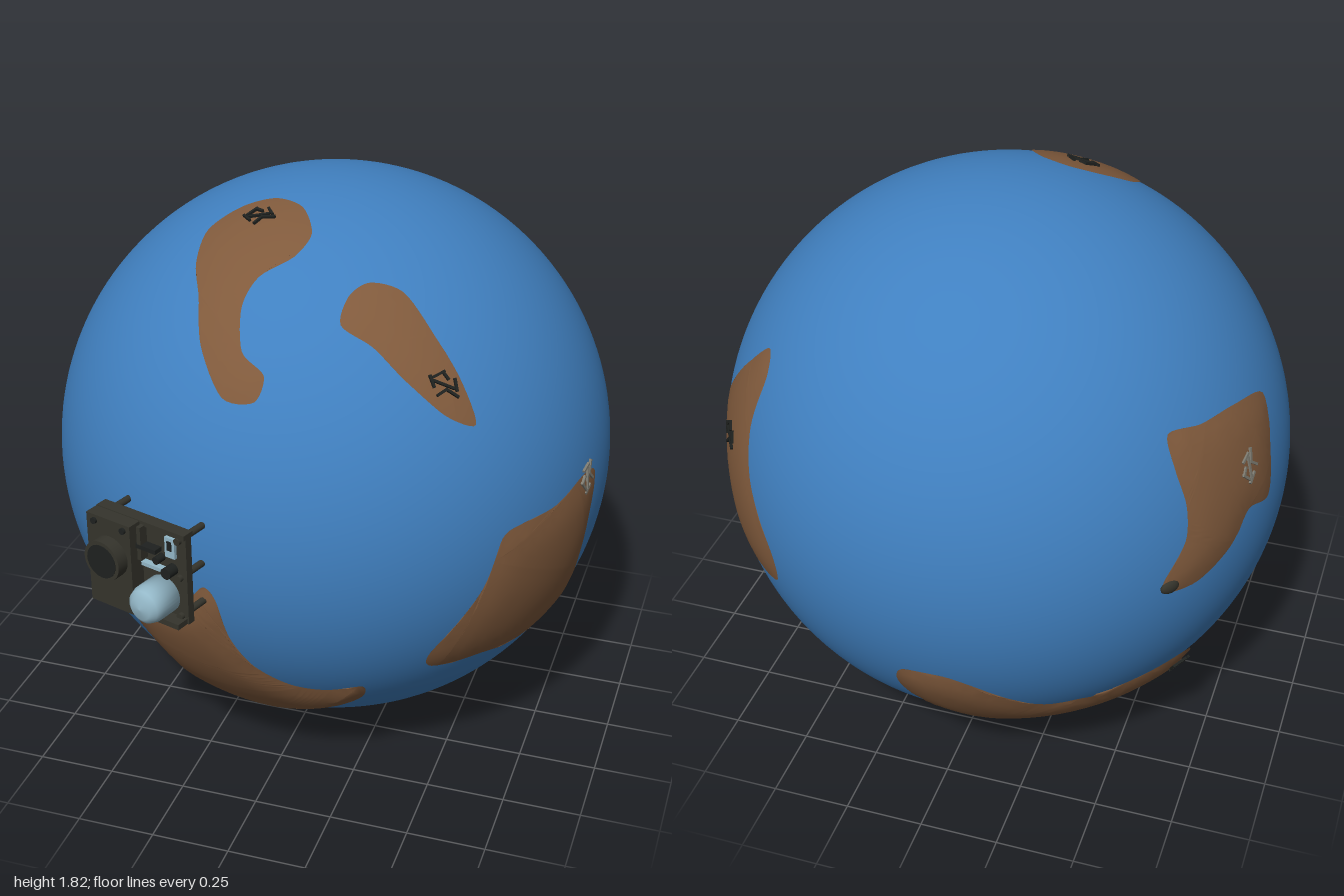
import * as THREE from 'three';
import { mergeVertices } from 'three/addons/utils/BufferGeometryUtils.js';

const R = 0.91;
const mat = (name, color) => Object.assign(new THREE.MeshStandardMaterial({ color }), { name });
const ocean = mat('ocean blue', 0x4080c0);
const earth = mat('earth brown', 0x805a3c);
const dark = mat('dark metal', 0x35342c);
const black = mat('black', 0x1e211f);
const pale = mat('pale blue', 0x94b8c8);
const grey = mat('stone grey', 0x7c7a70);

function mesh(name, geo, material, x = 0, y = 0, z = 0) {
  const m = new THREE.Mesh(geo, material);
  m.name = name;
  m.position.set(x, y, z);
  return m;
}
const box = (name, w, h, d, material, x, y, z) => mesh(name, new THREE.BoxGeometry(w, h, d), material, x, y, z);
// cylinder lying along z, reaching from z0 to z1
const rod = (name, r, z0, z1, material, x, y) =>
  mesh(name, new THREE.CylinderGeometry(r, r, z1 - z0, 24).rotateX(Math.PI / 2), material, x, y, (z0 + z1) / 2);

// Unit direction of a point (a right, b up) on the globe as faced from a given azimuth and elevation
function lift([a, b], az, el) {
  const s = THREE.MathUtils.degToRad(az), e = THREE.MathUtils.degToRad(el);
  const right = new THREE.Vector3(Math.cos(s), 0, -Math.sin(s));
  const out = new THREE.Vector3(Math.sin(s) * Math.cos(e), Math.sin(e), Math.cos(s) * Math.cos(e));
  const up = out.clone().cross(right);
  const d = Math.sqrt(Math.max(0, R * R - a * a - b * b));
  return right.multiplyScalar(a).addScaledVector(up, b).addScaledVector(out, d).normalize();
}
const fromFront = (x, y) => lift([x, y - 0.915], 0, 0);
const fromSide = (z, y) => lift([-(z + 0.09), y - 0.915], 90, 0);
const fromTop = (x, z) => lift([x, -(z + 0.09)], 0, 90);
const fromBackLeft = (a, b) => lift([a, b], 215, 25);
const fromBelow = (a, b) => lift([a, b], 140, -30);
const points = (fn, list) => list.map(([a, b]) => fn(a, b));

// Land: fill a smooth closed outline, split it finely and lift it off the globe
function land(name, dirs, bulge) {
  const outline = new THREE.CatmullRomCurve3(dirs, true, 'catmullrom', 0.4).getPoints(dirs.length * 6);
  outline.pop();
  outline.forEach(p => p.normalize());
  const n = outline.reduce((s, p) => s.add(p), new THREE.Vector3()).normalize();
  const u = new THREE.Vector3(0, 1, 0.01).cross(n).normalize();
  const v = n.clone().cross(u);
  const flat = () => outline.map(p => new THREE.Vector2(p.dot(u), p.dot(v)));
  if (THREE.ShapeUtils.isClockWise(flat())) outline.reverse();
  const pos = [];
  const emit = p => {
    const edge = Math.min(...outline.map(q => q.distanceTo(p)));
    const t = Math.min(1, edge / 0.12);
    const r = R + 0.003 + bulge * t * (2 - t);
    pos.push(p.x * r, p.y * r, p.z * r);
  };
  const split = (a, b, c) => {
    const ab = a.distanceTo(b), bc = b.distanceTo(c), ca = c.distanceTo(a);
    const longest = Math.max(ab, bc, ca);
    if (longest < 0.06) return [a, b, c].forEach(emit);
    if (longest === bc) return split(b, c, a);
    if (longest === ca) return split(c, a, b);
    const m = a.clone().add(b).normalize();
    split(a, m, c);
    split(m, b, c);
  };
  THREE.ShapeUtils.triangulateShape(flat(), []).forEach(f => split(...f.map(i => outline[i])));
  let geo = new THREE.BufferGeometry();
  geo.setAttribute('position', new THREE.Float32BufferAttribute(pos, 3));
  geo = mergeVertices(geo, 1e-5);
  geo.computeVertexNormals();
  return mesh(name, geo, earth);
}

// Small branching marking made of thin strokes: x, y, length, angle
const STROKES = [[0, 0, 0.07, 0.3], [-0.03, 0.015, 0.045, 1.1], [-0.035, -0.015, 0.04, -0.6], [0.03, 0.022, 0.04, -0.8],
  [0.035, -0.005, 0.045, 0.1], [0.008, -0.022, 0.04, 1.2], [-0.01, 0.025, 0.03, -0.3]];
function marking(name, dir, material, spin, height) {
  const g = new THREE.Group();
  g.name = name;
  for (const [x, y, len, angle] of STROKES) {
    const s = box('stroke', len, 0.008, 0.008, material, x, y, 0);
    s.rotation.z = angle;
    g.add(s);
  }
  g.position.copy(dir).multiplyScalar(R + height);
  g.quaternion.setFromUnitVectors(new THREE.Vector3(0, 0, 1), dir);
  g.rotateZ(spin);
  return g;
}

// Instrument pack standing off the globe on posts; z runs outward from the globe's centre
function instrument() {
  const g = new THREE.Group();
  g.name = 'instrument';
  g.rotation.y = THREE.MathUtils.degToRad(-17);
  g.add(box('backPlate', 0.33, 0.3, 0.025, dark, 0, -0.013, 0.985));
  g.add(box('cameraBox', 0.165, 0.3, 0.06, dark, -0.083, -0.013, 1.02));
  g.add(rod('lens', 0.066, 1.03, 1.09, dark, -0.08, 0.015));
  g.add(rod('lensGlass', 0.054, 1.085, 1.092, black, -0.08, 0.015));
  for (const x of [-0.14, 0.14]) for (const y of [-0.14, -0.01, 0.115]) g.add(rod('post', 0.011, 0.87, 1.01, dark, x, y));
  for (const x of [-0.135, -0.025]) g.add(rod('bolt', 0.01, 1.04, 1.058, black, x, 0.118));
  // domed canister
  const profile = [[0, 0], [0.06, 0], [0.06, 0.085], [0.053, 0.108], [0.035, 0.122], [0, 0.127]].map(p => new THREE.Vector2(...p));
  g.add(mesh('canister', new THREE.LatheGeometry(profile, 32).rotateX(Math.PI / 2), pale, 0.075, -0.085, 0.985));
  g.add(box('canisterCradle', 0.15, 0.018, 0.05, dark, 0.085, -0.153, 1.015));
  // gauge and small controls on the open half
  g.add(box('gauge', 0.036, 0.066, 0.012, pale, 0.112, 0.085, 1.002));
  g.add(box('gaugeSlot', 0.016, 0.03, 0.006, black, 0.112, 0.092, 1.008));
  g.add(box('controlArm', 0.075, 0.014, 0.03, black, 0.035, 0.065, 1.012));
  g.add(box('controlBar', 0.08, 0.012, 0.02, pale, 0.05, 0.005, 1.008));
  g.add(box('controlRail', 0.014, 0.11, 0.03, dark, 0.012, 0.075, 1.012));
  g.add(rod('knob', 0.018, 0.99, 1.035, black, 0.115, 0.012));
  g.add(rod('knob', 0.012, 0.99, 1.03, black, 0.075, 0.04));
  g.add(box('topRim', 0.33, 0.016, 0.04, dark, 0, 0.132, 0.985));
  return g;
}

export function createModel() {
  const model = new THREE.Group();
  model.name = 'globe';
  const globe = new THREE.Group();
  globe.position.set(0, 0.915, -0.09);
  model.add(globe);
  globe.add(mesh('ocean', new THREE.SphereGeometry(R, 128, 80), ocean));

  globe.add(land('topLand', points(fromTop, [[-0.13, 0.105], [-0.03, 0.15], [0.035, 0.26], [0.01, 0.35], [-0.075, 0.42], [-0.1, 0.5],
    [-0.065, 0.6], [0.015, 0.64], [0, 0.685], [-0.1, 0.68], [-0.2, 0.58], [-0.25, 0.46], [-0.3, 0.35], [-0.31, 0.22], [-0.23, 0.135]]), 0.004));
  globe.add(land('upperFrontLand', points(fromFront, [[0.2, 1.58], [0.2, 1.64], [0.245, 1.665], [0.34, 1.64], [0.45, 1.54], [0.54, 1.43],
    [0.6, 1.31], [0.52, 1.35], [0.4, 1.45], [0.3, 1.53]]), 0.004));
  globe.add(land('leftLand', points(fromSide, [[0.49, 0.96], [0.43, 0.985], [0.3, 0.99], [0.15, 1.025], [0.06, 1.0], [0.09, 0.85], [0.08, 0.7],
    [0.01, 0.55], [0.04, 0.49], [0.22, 0.455], [0.4, 0.485], [0.54, 0.5], [0.58, 0.58], [0.53, 0.8]]), 0.008));
  globe.add(land('backLeftLand', points(fromSide, [[-0.58, 1.41], [-0.65, 1.35], [-0.7, 1.2], [-0.76, 1.05], [-0.84, 0.85], [-0.82, 0.73],
    [-0.72, 0.71], [-0.62, 0.76], [-0.58, 0.9], [-0.52, 1.03], [-0.45, 1.13], [-0.48, 1.2], [-0.54, 1.32]]), 0.006));
  globe.add(land('rightLand', points(fromBackLeft, [[0.234, 0.076], [0.35, 0.08], [0.48, 0.104], [0.625, 0.104], [0.632, -0.06], [0.616, -0.213],
    [0.518, -0.223], [0.441, -0.322], [0.316, -0.398], [0.2, -0.403], [0.196, -0.36], [0.267, -0.25], [0.273, -0.142], [0.245, -0.033]]), 0.008));
  globe.add(land('frontLand', points(fromFront, [[-0.54, 0.76], [-0.5, 0.78], [-0.4, 0.73], [-0.3, 0.7], [-0.2, 0.74], [-0.13, 0.82], [-0.09, 0.78],
    [-0.06, 0.63], [0, 0.51], [0.1, 0.43], [0.2, 0.41], [0.31, 0.43], [0.3, 0.36], [0.22, 0.28], [0.1, 0.21], [-0.1, 0.15], [-0.3, 0.1],
    [-0.42, 0.115], [-0.57, 0.21], [-0.5, 0.225], [-0.41, 0.27], [-0.375, 0.36], [-0.4, 0.46], [-0.48, 0.62]]), 0.018));
  globe.add(land('bottomLand', [
    ...points(fromBelow, [[0.5, 0.066], [0.6, 0.03], [0.65, -0.05], [0.68, -0.18], [0.7, -0.3], [0.785, -0.39]]),
    ...points(fromBackLeft, [[0.37, -0.703], [0.452, -0.768]]),
    ...points(fromFront, [[-0.57, 0.21], [-0.43, 0.12]]),
    ...points(fromBelow, [[0.252, -0.865], [0.416, -0.7], [0.323, -0.575], [0.34, -0.49], [0.427, -0.373], [0.427, -0.126], [0.45, 0]])], 0.016));

  globe.add(marking('topMarking', fromTop(-0.15, 0.2), black, 0, 0.01));
  globe.add(marking('upperFrontMarking', fromFront(0.5, 1.425), black, -0.6, 0.01));
  globe.add(marking('leftMarking', fromSide(0.13, 1.01), grey, 1.2, 0.008));
  globe.add(marking('backLeftMarking', fromSide(-0.61, 1.095), black, 0, 0.012));
  globe.add(marking('rightMarking', fromBackLeft(0.512, -0.087), grey, 0.9, 0.012));
  globe.add(marking('bottomMarking', fromBackLeft(0.34, -0.74), black, 0.2, 0.02));

  // dark stone at the tip of the right land
  const stone = mesh('stone', new THREE.SphereGeometry(0.032, 16, 10).scale(1, 0.7, 0.4), dark);
  const tip = fromBackLeft(0.215, -0.385);
  stone.position.copy(tip).multiplyScalar(R + 0.004);
  stone.quaternion.setFromUnitVectors(new THREE.Vector3(0, 0, 1), tip);
  globe.add(stone);

  globe.add(instrument());
  return model;
}
